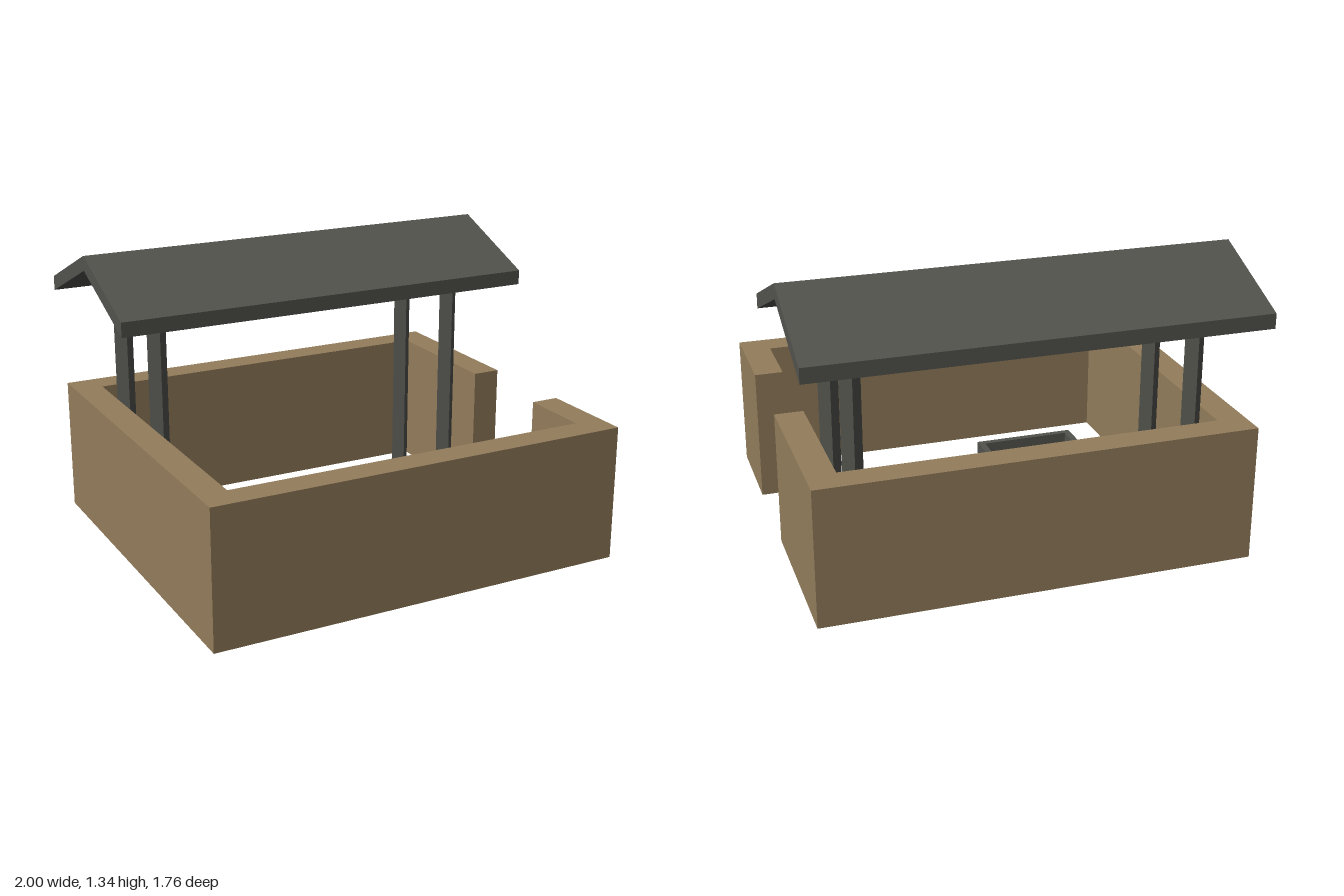
import * as THREE from 'three';

const yard = { x: 0.972, back: -0.853, front: 0.878, thick: 0.13, height: 0.622 };
const roofZ = -0.418; // ridge line of the shelter

function polygon(points, Type = THREE.Shape) {
  return new Type(points.map(([x, y]) => new THREE.Vector2(x, y)));
}

export function createModel() {
  const model = new THREE.Group();
  const mud = new THREE.MeshStandardMaterial({ color: 0x937d5b });
  mud.name = 'mudBrick';
  const timber = new THREE.MeshStandardMaterial({ color: 0x52534d });
  timber.name = 'darkTimber';

  function add(name, geometry, material, x = 0, y = 0, z = 0, parent = model) {
    const mesh = new THREE.Mesh(geometry, material);
    mesh.name = name;
    mesh.position.set(x, y, z);
    parent.add(mesh);
    return mesh;
  }

  // Extrude a ground plan, given as [x, z] points, upwards
  function extrudePlan(outline, height, hole) {
    const flip = (list) => list.map(([x, z]) => [x, -z]);
    const shape = polygon(flip(outline));
    if (hole) shape.holes.push(polygon(flip(hole), THREE.Path));
    return new THREE.ExtrudeGeometry(shape, { depth: height, bevelEnabled: false }).rotateX(-Math.PI / 2);
  }

  // Yard wall with a gateway in the left side
  const { x, back, front, thick, height } = yard;
  const gateBack = -0.066, gateFront = 0.42;
  add('yardWall', extrudePlan([
    [x, gateFront], [x, front], [-x, front], [-x, back], [x, back], [x, gateBack],
    [x - thick, gateBack], [x - thick, back + thick], [-x + thick, back + thick],
    [-x + thick, front - thick], [x - thick, front - thick], [x - thick, gateFront],
  ], height), mud);

  // Open shelter: square posts turned on edge, two beams, gabled roof
  const shelter = new THREE.Group();
  shelter.name = 'shelter';
  shelter.position.z = roofZ;
  model.add(shelter);
  const postGeometry = new THREE.CylinderGeometry(0.045, 0.045, 1.075, 4).toNonIndexed();
  postGeometry.computeVertexNormals();
  const beamGeometry = new THREE.BoxGeometry(1.6, 0.13, 0.09);
  for (const side of [-1, 1]) {
    const z = side * 0.217;
    for (const px of [-0.755, 0.755]) add('post', postGeometry, timber, px, 0.5375, z, shelter);
    add('beam', beamGeometry, timber, 0, 1.14, z, shelter);
  }

  const gable = polygon([
    [-0.46, 1.08], [0, 1.27], [0.46, 1.08], [0.46, 1.147], [0, 1.337], [-0.46, 1.147],
  ]);
  const roof = new THREE.ExtrudeGeometry(gable, { depth: 2, bevelEnabled: false });
  roof.translate(0, 0, -1).rotateY(Math.PI / 2);
  add('roof', roof, timber, 0, 0, 0, shelter);

  // Hollow trough with a thin floor
  const trough = new THREE.Group();
  trough.name = 'trough';
  trough.position.set(-0.353, 0, 0.285);
  model.add(trough);
  const rectangle = (w, d) => [[-w, d], [w, d], [w, -d], [-w, -d]];
  add('troughSides', extrudePlan(rectangle(0.242, 0.108), 0.14, rectangle(0.212, 0.078)), timber, 0, 0, 0, trough);
  add('troughFloor', new THREE.BoxGeometry(0.424, 0.03, 0.156), timber, 0, 0.015, 0, trough);

  return model;
}
